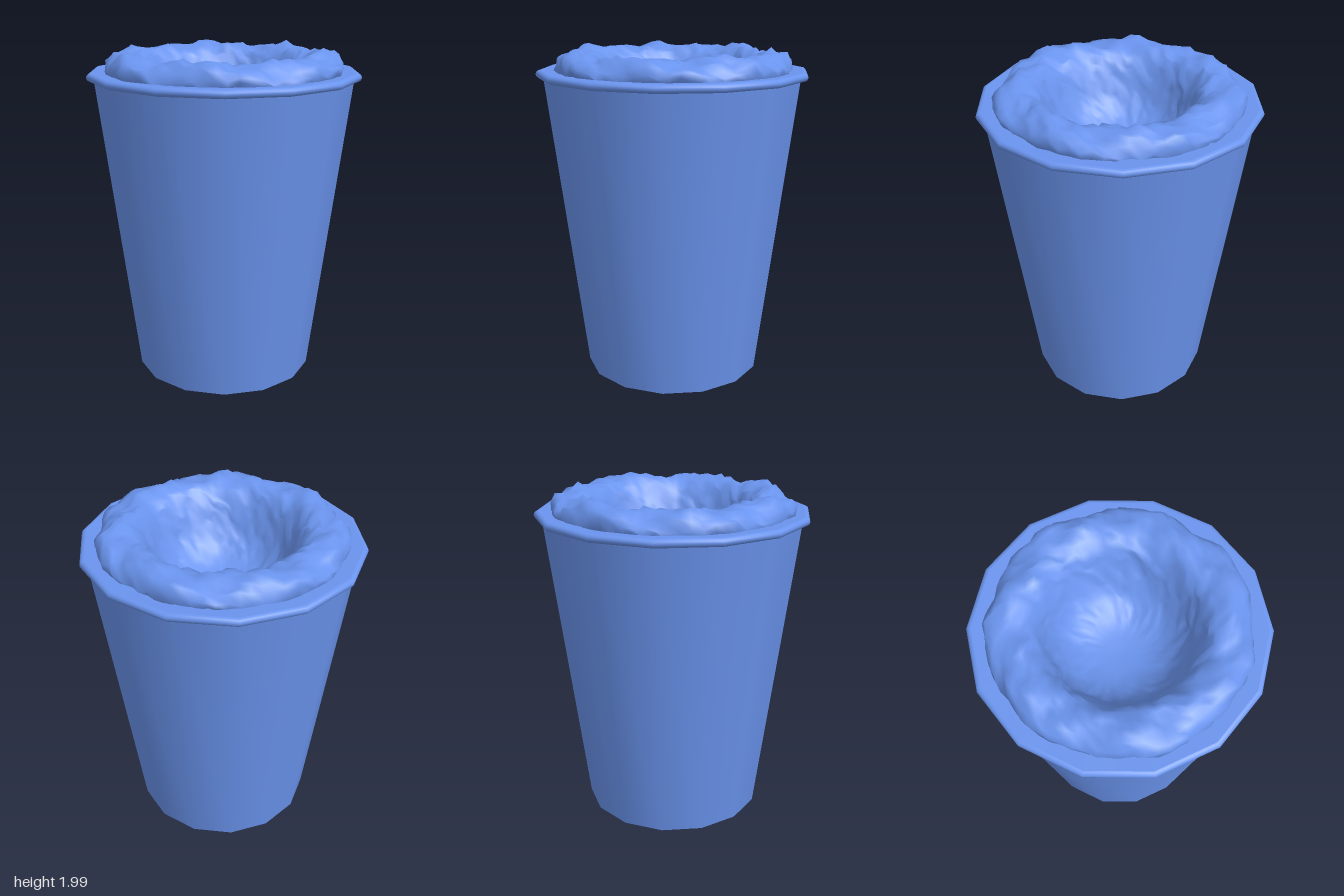
import * as THREE from 'three';
import { mergeVertices } from 'three/addons/utils/BufferGeometryUtils.js';

const SIDES = 14;
const material = new THREE.MeshStandardMaterial({ color: 0x6a94ee, roughness: 0.8 });
const toVectors = (list) => list.map(([r, y]) => new THREE.Vector2(r, y));

function lathe(name, profile) {
  const mesh = new THREE.Mesh(new THREE.LatheGeometry(toVectors(profile), SIDES), material);
  mesh.name = name;
  return mesh;
}

// Repeatable value in -1..1 for a pair of grid indices
function hash(i, j) {
  const s = Math.sin(i * 127.1 + j * 311.7) * 43758.5453;
  return 2 * (s - Math.floor(s)) - 1;
}

// Lumpy ring of froth that dips into a bowl in the middle
function createFroth() {
  const segments = 72;
  const curve = new THREE.SplineCurve(toVectors([
    [0.68, 1.81], [0.705, 1.87], [0.66, 1.925], [0.57, 1.95], [0.48, 1.925],
    [0.42, 1.84], [0.37, 1.72], [0.29, 1.61], [0.16, 1.54], [0, 1.52],
  ]));
  const profile = curve.getSpacedPoints(26);
  profile[26].x = 0;
  const geometry = new THREE.LatheGeometry(profile, segments);
  const position = geometry.attributes.position;
  const rows = profile.length;
  for (let k = 0; k < position.count; k++) {
    const i = Math.floor(k / rows) % segments;
    const j = k % rows;
    const a = (i / segments) * Math.PI * 2;
    const { x: r, y } = profile[j];
    // Broad lumps plus fine crumbs, fading out towards the bowl floor
    const fade = THREE.MathUtils.smoothstep(r, 0.1, 0.5);
    const lumps = 0.012 * Math.sin(7 * a + j * 0.6) + 0.01 * Math.sin(13 * a - j * 0.9);
    const lift = fade * (lumps + 0.016 * hash(i, j));
    const push = fade * (0.6 * lumps + 0.01 * hash(i + 91, j + 17));
    const radius = Math.min(r + push, 0.72);
    position.setXYZ(k, Math.sin(a) * radius, Math.min(y + lift, 2), Math.cos(a) * radius);
  }
  geometry.deleteAttribute('uv');
  geometry.deleteAttribute('normal');
  const merged = mergeVertices(geometry);
  merged.computeVertexNormals();
  const mesh = new THREE.Mesh(merged, material);
  mesh.name = 'froth';
  return mesh;
}

export function createModel() {
  const group = new THREE.Group();
  group.name = 'cup';

  // Tapered wall and flat base
  group.add(lathe('cupWall', [[0.54, 0], [0.766, 1.82]]));
  group.add(lathe('cupBase', [[0, 0], [0.54, 0]]));

  // Rolled rim, with a flat ledge reaching in under the froth
  const rim = [];
  for (let k = 0; k <= 8; k++) {
    const t = -Math.PI / 2 + (k / 8) * Math.PI;
    rim.push([0.782 + 0.026 * Math.cos(t), 1.829 + 0.024 * Math.sin(t)]);
  }
  group.add(lathe('rim', [[0.755, 1.805], ...rim]));
  group.add(lathe('rimLedge', [[0.782, 1.853], [0.66, 1.848]]));

  group.add(createFroth());
  return group;
}
